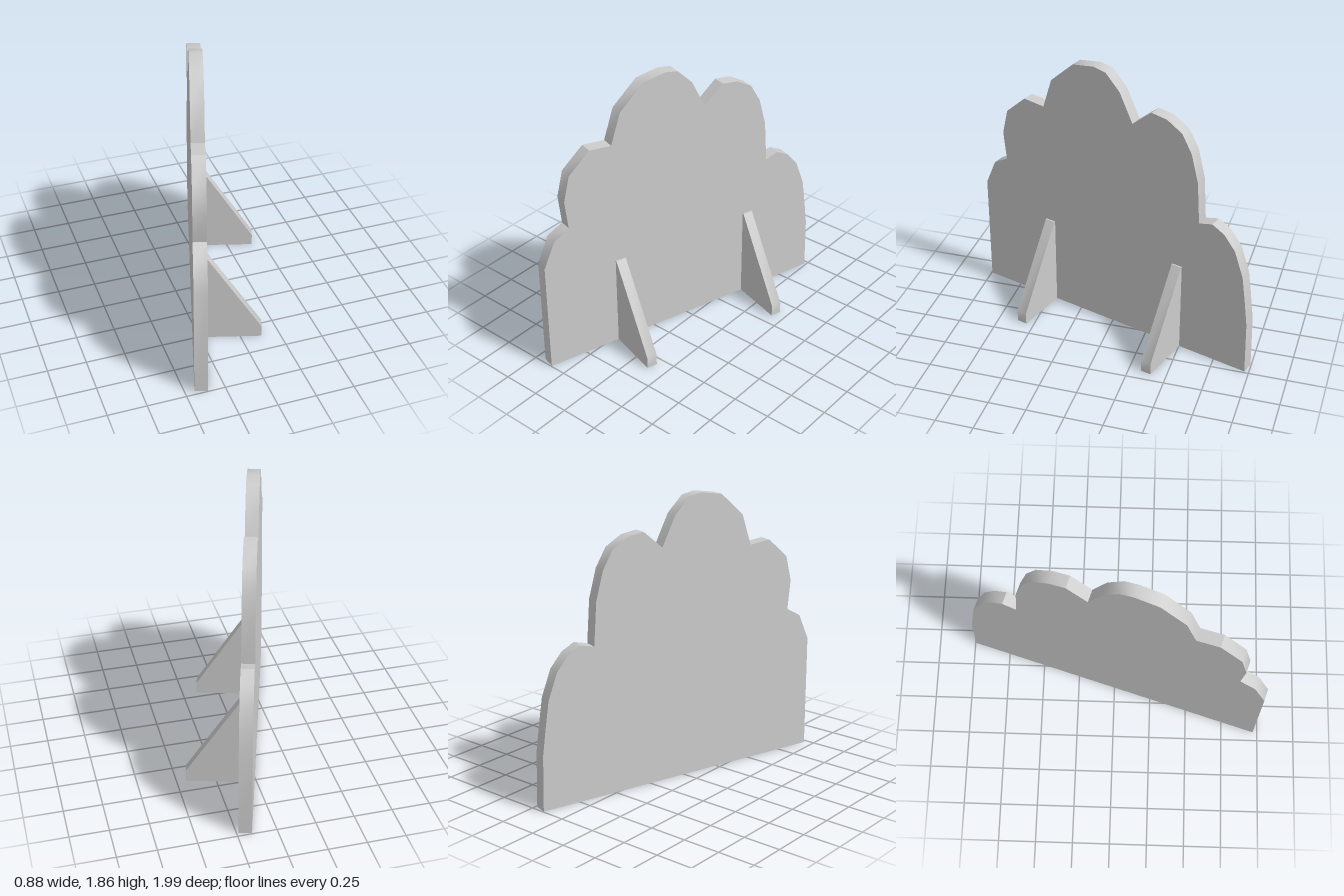
import * as THREE from 'three';
import { toCreasedNormals } from 'three/addons/utils/BufferGeometryUtils.js';

// Extrudes an outline into a board with crisp faces and softly rounded rim shading
function board(points, depth) {
  const shape = new THREE.Shape(points.map(([x, y]) => new THREE.Vector2(x, y)));
  const geometry = new THREE.ExtrudeGeometry(shape, { depth, bevelEnabled: false });
  return toCreasedNormals(geometry, 0.7);
}

export function createModel() {
  const model = new THREE.Group();
  model.name = 'standingCutout';
  const paint = new THREE.MeshStandardMaterial({ color: 0xcccccc });
  paint.name = 'light grey';

  // The whole piece stands turned about the vertical axis:
  // local x runs along the panel, local z points out of its face
  const stand = new THREE.Group();
  stand.name = 'stand';
  stand.rotation.y = Math.acos(0.291);
  stand.position.set(-0.36, 0, 0.995);
  model.add(stand);

  // Bush-shaped panel
  const thickness = 0.084;
  const outline = [
    [0, 0], [2.055, 0], [2.048, 0.365], [2.025, 0.54], [2.0, 0.71], [1.937, 0.88],
    [1.857, 0.975], [1.77, 1.02], [1.677, 0.995], [1.658, 1.275], [1.608, 1.46],
    [1.538, 1.58], [1.428, 1.645], [1.317, 1.66], [1.181, 1.545], [1.087, 1.735],
    [0.983, 1.84], [0.893, 1.857], [0.737, 1.832], [0.569, 1.68], [0.502, 1.475],
    [0.35, 1.49], [0.204, 1.36], [0.162, 1.19], [0.183, 0.995], [0.078, 0.935], [0, 0.76],
  ];
  const panel = new THREE.Mesh(board(outline, thickness), paint);
  panel.name = 'bushPanel';
  panel.position.z = -thickness;
  stand.add(panel);

  // Two triangular braces standing square to the panel
  const brace = board([[0, 0], [0.36, 0], [0.36, 0.08], [0.01, 0.63], [0, 0.63]], 0.07);
  [0.572, 1.565].forEach((x, i) => {
    const mesh = new THREE.Mesh(brace, paint);
    mesh.name = i ? 'rearBrace' : 'frontBrace';
    mesh.rotation.y = -Math.PI / 2;
    mesh.position.x = x;
    stand.add(mesh);
  });

  return model;
}
